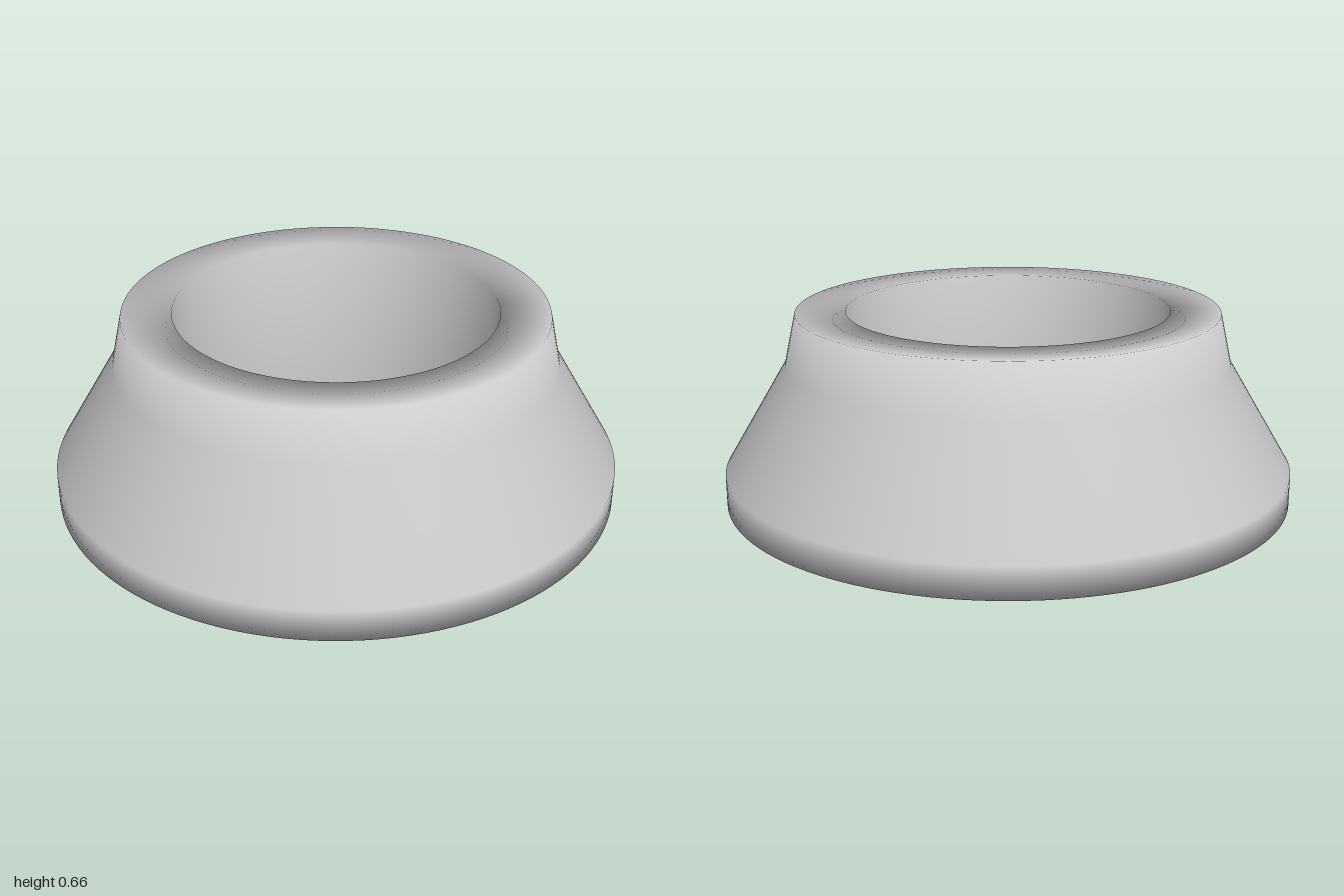
import * as THREE from 'three';

export function createModel() {
  const model = new THREE.Group();
  const material = new THREE.MeshStandardMaterial({ color: 0xcccccc });
  const holeRadius = 0.565;
  const segments = 128;

  // Flared body: underside, foot band, cone, collar, flat rim, straight bore
  const profile = [
    [0, 0], [holeRadius, 0], [1, 0], [1, 0.11], [0.78, 0.48],
    [0.74, 0.66], [holeRadius, 0.66], [holeRadius, 0],
  ].map(([r, y]) => new THREE.Vector2(r, y));
  const body = new THREE.Mesh(new THREE.LatheGeometry(profile, segments), material);
  body.name = 'body';
  model.add(body);

  // Flat floor at the bottom of the bore
  const floor = new THREE.Mesh(new THREE.CircleGeometry(holeRadius, segments), material);
  floor.name = 'floor';
  floor.rotation.x = -Math.PI / 2;
  floor.position.y = 0.005;
  model.add(floor);

  return model;
}
